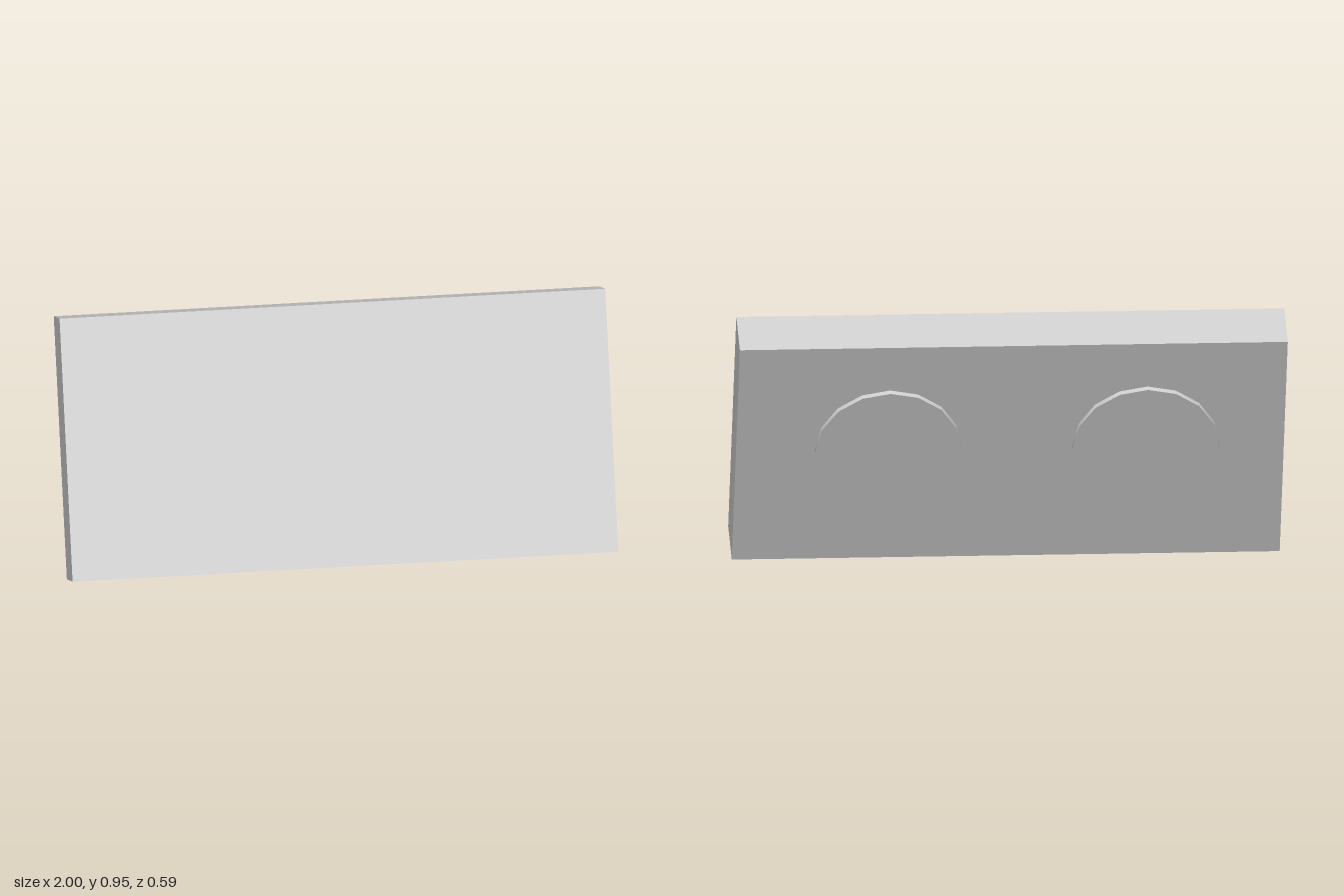
import * as THREE from 'three';

export function createModel() {
  const model = new THREE.Group();
  const material = new THREE.MeshStandardMaterial({ color: 0xcccccc });

  // Everything leans back together
  const tilted = new THREE.Group();
  tilted.name = 'tiltedPanel';
  tilted.position.y = 0.478;
  tilted.rotation.x = -0.44;
  model.add(tilted);

  // Main slab
  const panel = new THREE.Mesh(new THREE.BoxGeometry(2, 0.96, 0.2), material);
  panel.name = 'panel';
  tilted.add(panel);

  // Two shallow round pads on the back, slightly embedded in the slab
  const padGeometry = new THREE.CylinderGeometry(0.268, 0.268, 0.04, 16).rotateX(-Math.PI / 2);
  for (const [name, x] of [['leftBackDisc', 0.445], ['rightBackDisc', -0.495]]) {
    const pad = new THREE.Mesh(padGeometry, material);
    pad.name = name;
    pad.position.set(x, 0.017, -0.101);
    tilted.add(pad);
  }

  return model;
}
